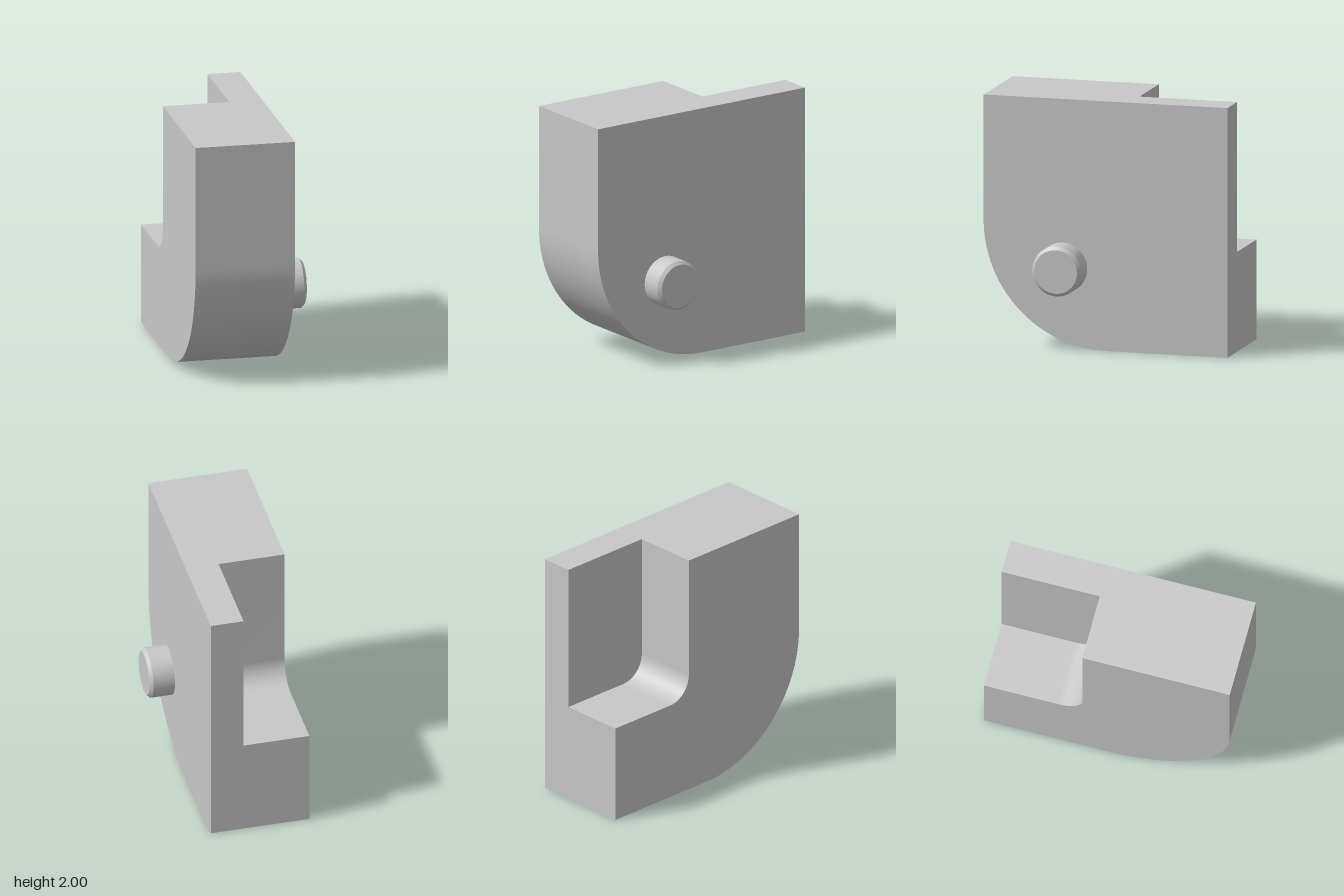
import * as THREE from 'three';
import { toCreasedNormals } from 'three/addons/utils/BufferGeometryUtils.js';

const CREASE = 0.4;

// Slab with one large rounded lower corner; optionally stepped at the other side.
function slabShape(notched) {
  const s = new THREE.Shape();
  s.moveTo(-1, 0);
  s.lineTo(0, 0);
  s.absarc(0, 1, 1, -Math.PI / 2, 0, false);
  s.lineTo(1, 2);
  if (notched) {
    s.lineTo(-0.2, 2);
    s.lineTo(-0.2, 1);
    s.absarc(-0.4, 1, 0.2, 0, -Math.PI / 2, true); // inner fillet
    s.lineTo(-1, 0.8);
  } else {
    s.lineTo(-1, 2);
  }
  s.closePath();
  return s;
}

function slab(name, notched, z0, z1, material) {
  const geo = new THREE.ExtrudeGeometry(slabShape(notched), {
    depth: z1 - z0, bevelEnabled: false, curveSegments: 40,
  });
  geo.translate(0, 0, z0);
  const mesh = new THREE.Mesh(toCreasedNormals(geo, CREASE), material);
  mesh.name = name;
  return mesh;
}

export function createModel() {
  const grey = new THREE.MeshStandardMaterial({ color: 0xc8c8c8 });
  grey.name = 'light grey';

  const model = new THREE.Group();
  model.name = 'bracketBlock';

  // Full back plate and the notched body in front of it
  model.add(slab('backPlate', false, -0.4, -0.134, grey));
  model.add(slab('notchedBody', true, -0.134, 0.4, grey));

  // Chamfered round pin on the back face
  const profile = [[0.2, 0], [0.2, 0.174], [0.175, 0.2], [0, 0.2]]
    .map(([r, h]) => new THREE.Vector2(r, h));
  const pinGeo = new THREE.LatheGeometry(profile, 48).rotateX(-Math.PI / 2);
  const pin = new THREE.Mesh(toCreasedNormals(pinGeo, CREASE), grey);
  pin.name = 'pin';
  pin.position.set(0.35, 0.65, -0.4);
  model.add(pin);

  // The whole block stands diagonally
  model.rotation.y = -Math.PI / 4;
  return model;
}
